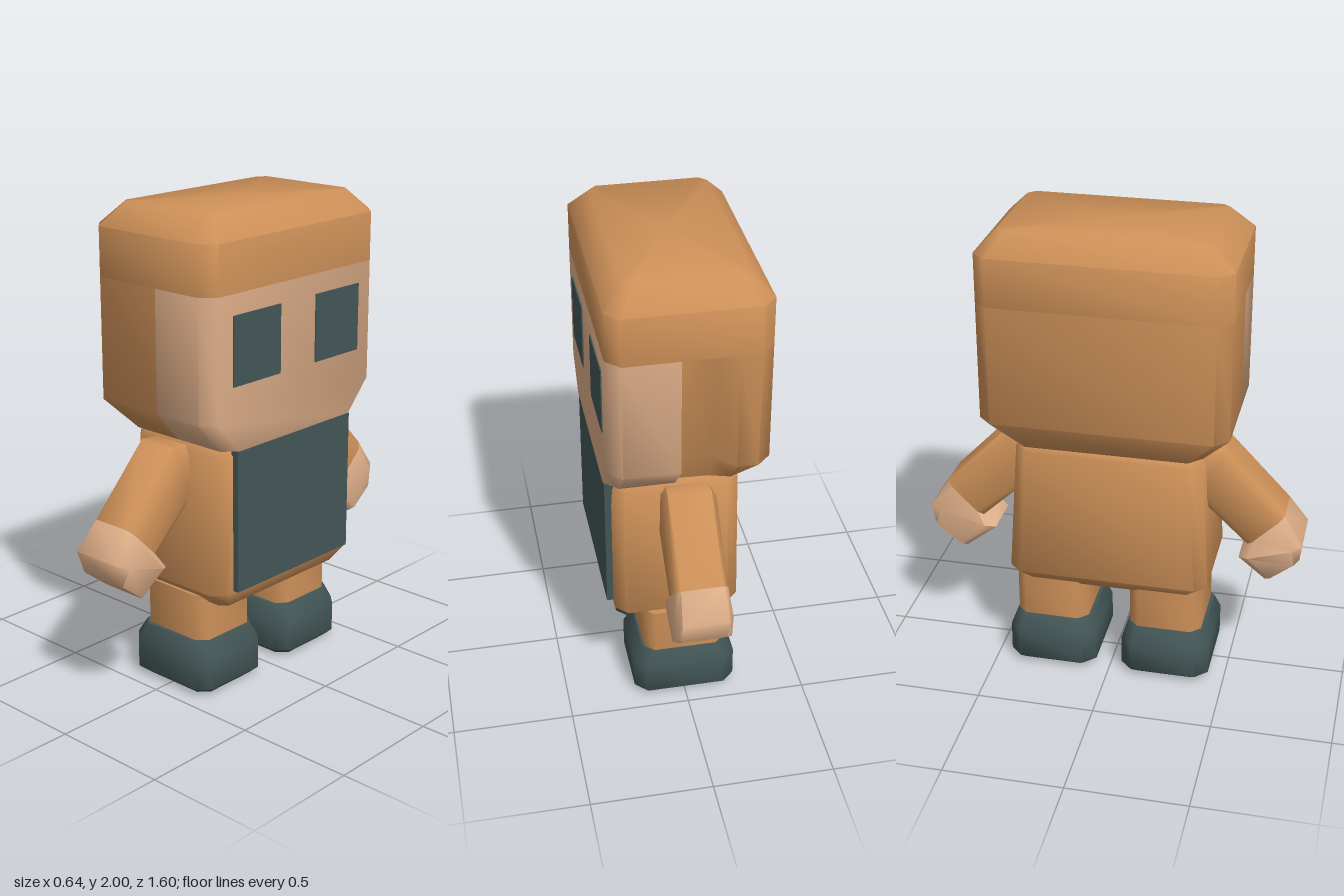
import * as THREE from 'three';
import { toCreasedNormals } from 'three/addons/utils/BufferGeometryUtils.js';

// Closed skin over rings of points, with both ends capped from their centres
function loft(rings) {
  const n = rings[0].length, pos = rings.flat(2), idx = [];
  for (let r = 0; r < rings.length - 1; r++) {
    for (let i = 0; i < n; i++) {
      const a = r * n + i, b = r * n + (i + 1) % n;
      idx.push(a, b, b + n, a, b + n, a + n);
    }
  }
  [0, rings.length - 1].forEach((r, end) => {
    const c = pos.length / 3;
    for (let k = 0; k < 3; k++) pos.push(rings[r].reduce((s, p) => s + p[k], 0) / n);
    for (let i = 0; i < n; i++) {
      const a = r * n + i, b = r * n + (i + 1) % n;
      idx.push(...(end ? [a, b, c] : [b, a, c]));
    }
  });
  // Turn the skin outwards if its signed volume is negative
  const P = (i) => new THREE.Vector3().fromArray(pos, i * 3);
  let volume = 0;
  for (let i = 0; i < idx.length; i += 3) volume += P(idx[i]).dot(P(idx[i + 1]).cross(P(idx[i + 2])));
  if (volume < 0) idx.reverse();
  const g = new THREE.BufferGeometry();
  g.setAttribute('position', new THREE.Float32BufferAttribute(pos, 3));
  g.setIndex(idx);
  return toCreasedNormals(g, Math.PI / 3.2);
}

// Horizontal ring with four cut corners
function octagon(y, x0, x1, z0, z1, c) {
  return [[x0 + c, z0], [x1 - c, z0], [x1, z0 + c], [x1, z1 - c],
    [x1 - c, z1], [x0 + c, z1], [x0, z1 - c], [x0, z0 + c]].map(([x, z]) => [x, y, z]);
}

// Ring across an arm, between an outer and an inner point given as [z, y]
function armRing(side, outer, inner, half) {
  return [[-half, 0.15], [-half * 0.8, 0], [half * 0.8, 0], [half, 0.15],
    [half, 0.85], [half * 0.8, 1], [-half * 0.8, 1], [-half, 0.85]].map(([x, t]) => [
    x - 0.005,
    THREE.MathUtils.lerp(outer[1], inner[1], t),
    side * THREE.MathUtils.lerp(outer[0], inner[0], t)]);
}

export function createModel() {
  const model = new THREE.Group();
  const mat = (name, color) => new THREE.MeshStandardMaterial({ name, color });
  const orange = mat('orange', 0xcd9058);
  const tan = mat('tan', 0xe0b08a);
  const slate = mat('slate', 0x435656);
  const add = (name, geometry, material, parent = model) => {
    const mesh = new THREE.Mesh(geometry, material);
    mesh.name = name;
    parent.add(mesh);
    return mesh;
  };
  const box = (name, size, at, material, parent) =>
    add(name, new THREE.BoxGeometry(...size), material, parent).position.set(...at);

  // Head: hair cap on top, face in front, hair behind with a hollow on one side
  const head = new THREE.Group();
  head.name = 'head';
  model.add(head);
  add('hairCap', loft([
    octagon(1.71, -0.32, 0.32, -0.51, 0.505, 0.055),
    octagon(1.91, -0.32, 0.32, -0.51, 0.505, 0.055),
    octagon(2.0, -0.24, 0.24, -0.42, 0.41, 0.03),
  ]), orange, head);

  const faceRing = (y, z0, z1) => [[0.04, z0], [0.265, z0], [0.32, z0 + 0.055],
    [0.32, z1 - 0.055], [0.265, z1], [0.04, z1]].map(([x, z]) => [x, y, z]);
  add('face', loft([
    faceRing(1.08, -0.39, 0.39), faceRing(1.21, -0.51, 0.505), faceRing(1.71, -0.51, 0.505),
  ]), tan, head);

  const hairRing = (y, x0, z0, z1, hollow) => [[0.04, z1], [x0 + 0.055, z1], [x0, z1 - 0.055],
    [x0, z0 + 0.055], [x0 + 0.055, z0], [-0.18, z0], [-0.1, z0 + hollow * 0.8],
    [0.04, z0 + hollow]].map(([x, z]) => [x, y, z]);
  add('hairBack', loft([
    hairRing(1.08, -0.24, -0.39, 0.39, 0.03),
    hairRing(1.21, -0.32, -0.51, 0.505, 0.1),
    hairRing(1.71, -0.32, -0.51, 0.505, 0.1),
  ]), orange, head);

  for (const z of [0.237, -0.245]) box('eye', [0.008, 0.28, 0.27], [0.321, 1.487, z], slate, head);

  // Body, slightly wider at the hips, with a raised front panel
  add('body', loft([
    octagon(0.4, -0.16, 0.25, -0.35, 0.35, 0.03),
    octagon(0.47, -0.225, 0.29, -0.43, 0.42, 0.05),
    octagon(1.05, -0.225, 0.29, -0.39, 0.39, 0.05),
    octagon(1.08, -0.2, 0.27, -0.37, 0.37, 0.04),
  ]), orange);
  box('frontPanel', [0.035, 0.595, 0.685], [0.299, 0.78, -0.003], slate);

  for (const side of [1, -1]) {
    const sideName = side > 0 ? 'near' : 'far';

    // Arm reaching out and down, ending in a blunt hand
    const arm = new THREE.Group();
    arm.name = sideName + 'Arm';
    model.add(arm);
    const wrist = armRing(side, [0.72, 0.8], [0.57, 0.65], 0.107);
    add('sleeve', loft([
      armRing(side, [0.36, 1.06], [0.3, 0.88], 0.1),
      armRing(side, [0.46, 1.07], [0.39, 0.82], 0.11),
      wrist,
    ]), orange, arm);
    add('hand', loft([
      wrist,
      armRing(side, [0.8, 0.68], [side > 0 ? 0.54 : 0.515, 0.6], side > 0 ? 0.145 : 0.118),
      armRing(side, [0.79, 0.6], [0.65, 0.49], 0.11),
    ]), tan, arm);

    // Leg and shoe
    const leg = new THREE.Group();
    leg.name = sideName + 'Leg';
    leg.position.z = side > 0 ? 0.243 : -0.25;
    model.add(leg);
    add('shin', loft([
      octagon(0.18, -0.175, 0.168, -0.16, 0.15, 0.04),
      octagon(0.43, -0.175, 0.168, -0.16, 0.15, 0.04),
    ]), orange, leg);
    add('shoe', loft([
      octagon(0, -0.18, 0.18, -0.155, 0.155, 0.04),
      octagon(0.03, -0.217, 0.213, -0.19, 0.19, 0.05),
      octagon(0.16, -0.217, 0.213, -0.19, 0.19, 0.05),
      octagon(0.23, -0.175, 0.175, -0.165, 0.165, 0.04),
    ]), slate, leg);
  }
  return model;
}
